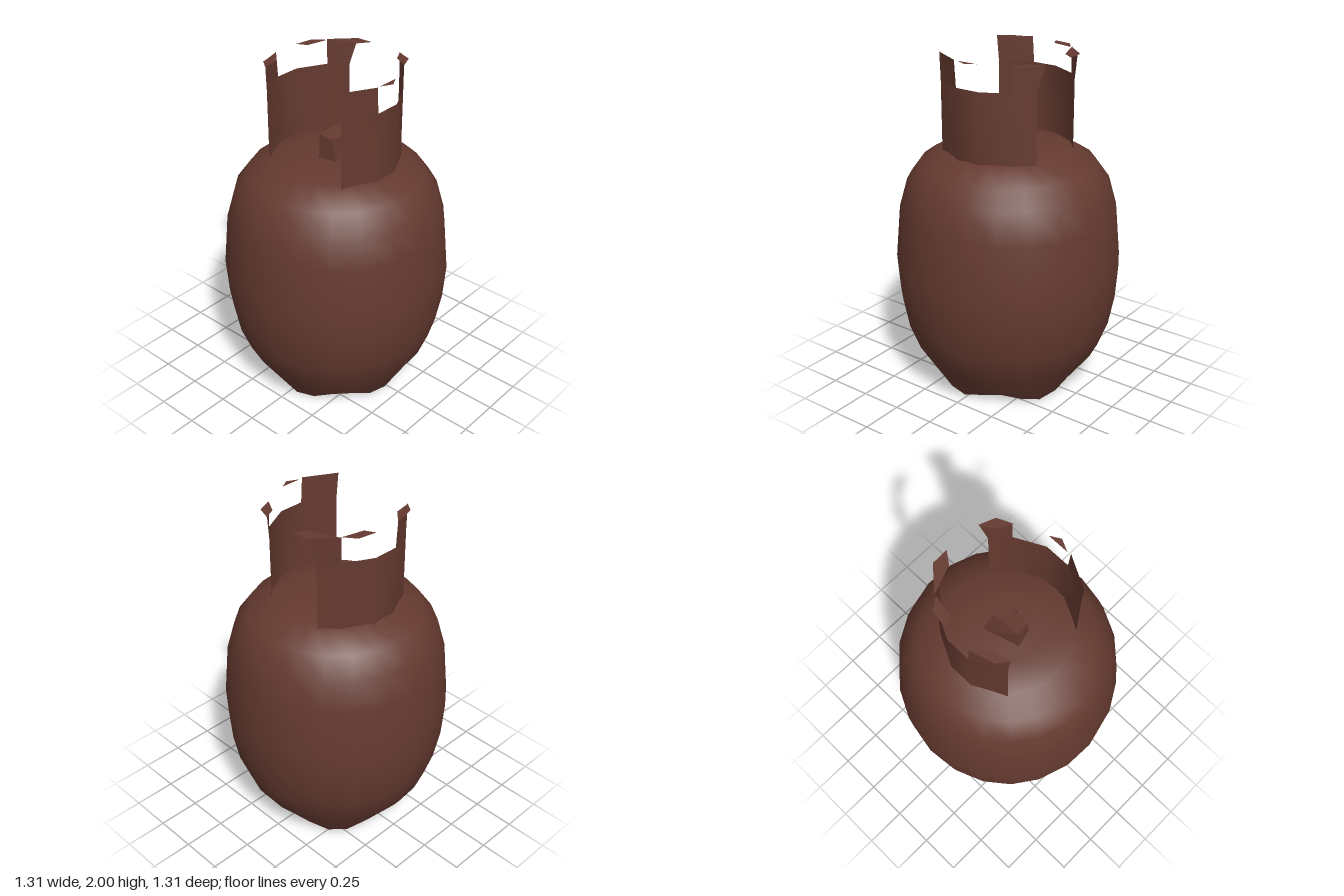
import * as THREE from 'three';

const brown = new THREE.MeshStandardMaterial({ color: 0x653a30, side: THREE.DoubleSide });
brown.name = 'rust brown';

function part(name, geometry) {
  const mesh = new THREE.Mesh(geometry, brown);
  mesh.name = name;
  return mesh;
}

function polygons(points, index, flat) {
  let g = new THREE.BufferGeometry();
  g.setAttribute('position', new THREE.Float32BufferAttribute(points.flat(), 3));
  g.setIndex(index);
  if (flat) g = g.toNonIndexed();
  g.computeVertexNormals();
  return g;
}

// Revolved shape whose rim at radius 0.41 dips into five shallow feet
function turned(profile) {
  const g = new THREE.LatheGeometry(profile.map(([r, y]) => new THREE.Vector2(r, y)), 22, 0.1);
  const p = g.attributes.position;
  for (let i = 0; i < p.count; i++) {
    const x = p.getX(i), z = p.getZ(i);
    if (p.getY(i) < 0.04 && Math.hypot(x, z) > 0.3) {
      p.setY(i, 0.03 - 0.028 * Math.cos(5 * (Math.atan2(z, x) - 0.14)));
    }
  }
  return g;
}

// Wall strip between columns of [x, z], from the shoulder to a given height
function wall(columns, y0, y1, topColumns = columns) {
  const points = [], index = [];
  columns.forEach(([x, z], i) => {
    points.push([x, y0, z], [topColumns[i][0], y1, topColumns[i][1]]);
    if (i) index.push(2 * i - 2, 2 * i - 1, 2 * i, 2 * i, 2 * i - 1, 2 * i + 1);
  });
  return polygons(points, index);
}

// Flat piece of rolled rim along the top of the collar
function rim(corners) {
  const index = [];
  for (let i = 2; i < corners.length; i++) index.push(0, i, i - 1);
  return polygons(corners.map(([x, z]) => [x, 1.997, z]), index);
}

// One half of the notched collar; side is +1 for left, -1 for right
function collar(side) {
  const group = new THREE.Group();
  group.name = side > 0 ? 'leftCollar' : 'rightCollar';
  const m = (list) => list.map(([x, z]) => [x * side, z]);
  const cols = m([[0.265, 0.265], [0.36, 0.08], [0.36, -0.07], [0.275, -0.235], [0.18, -0.32]]);
  group.add(part('collarWall', wall(cols, 1.43, 1.85)));
  group.add(part('frontPost', wall(cols.slice(0, 2), 1.85, 2, m([[0.26, 0.275], [0.36, 0.09]]))));
  group.add(part('backPost', wall(cols.slice(3), 1.85, 2, m([[0.275, -0.235], [0.15, -0.355]]))));
  return group;
}

export function createModel() {
  const model = new THREE.Group();
  model.name = 'gasBottle';

  // Tank and its recessed underside
  model.add(part('tank', turned([
    [0.41, 0.03], [0.55, 0.24], [0.608, 0.39], [0.642, 0.57], [0.657, 0.78],
    [0.628, 1.09], [0.58, 1.26], [0.5, 1.37], [0.36, 1.45], [0.2, 1.467], [0, 1.475],
  ])));
  model.add(part('underside', turned([[0, 0.06], [0.41, 0.03]])));

  // Collar halves with their torn rim pieces
  model.add(collar(1), collar(-1));
  const rims = [
    [[0.15, -0.355], [0.24, -0.32], [0.28, -0.23], [0.19, -0.28]],
    [[0.355, -0.06], [0.39, 0], [0.355, 0.07]],
    [[-0.06, -0.37], [-0.16, -0.365], [-0.275, -0.235], [-0.11, -0.3]],
    [[-0.27, -0.23], [-0.34, -0.18], [-0.36, -0.07], [-0.3, -0.1]],
    [[-0.36, 0.09], [-0.28, 0.17], [-0.26, 0.275], [-0.32, 0.23]],
  ];
  rims.forEach((r) => model.add(part('collarRim', rim(r))));

  // Valve: a lopsided four-sided stub
  const foot = [[-0.092, -0.1], [0.11, -0.04], [0.075, 0.085], [-0.03, 0.115]];
  const cap = [[-0.035, -0.07, 1.615], [0.065, -0.03, 1.6], [0.055, 0.095, 1.6], [-0.027, 0.105, 1.615]];
  const points = [...foot.map(([x, z]) => [x, 1.46, z]), ...cap.map(([x, z, y]) => [x, y, z])];
  const index = [4, 6, 5, 4, 7, 6];
  for (let i = 0; i < 4; i++) {
    const j = (i + 1) % 4;
    index.push(i, i + 4, j, j, i + 4, j + 4);
  }
  model.add(part('valve', polygons(points, index, true)));

  return model;
}
